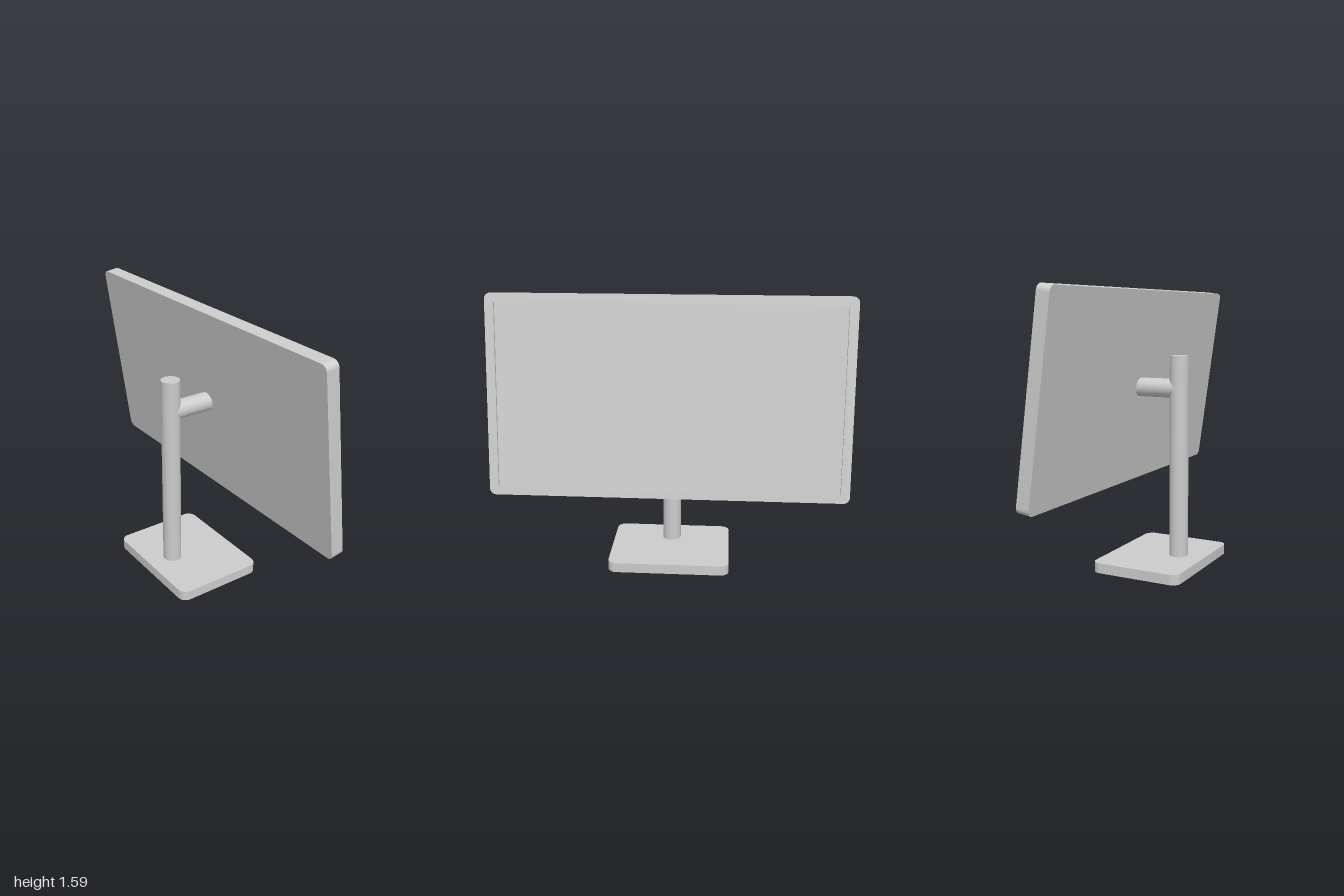
import * as THREE from 'three';
import { toCreasedNormals } from 'three/addons/utils/BufferGeometryUtils.js';

const grey = new THREE.MeshStandardMaterial({ color: 0xcccccc });

function roundedRect(w, h, r) {
  const x = w / 2, y = h / 2, s = new THREE.Shape();
  s.moveTo(-x + r, -y).lineTo(x - r, -y);
  s.absarc(x - r, -y + r, r, -Math.PI / 2, 0);
  s.absarc(x - r, y - r, r, 0, Math.PI / 2);
  s.absarc(-x + r, y - r, r, Math.PI / 2, Math.PI);
  s.absarc(-x + r, -y + r, r, Math.PI, Math.PI * 1.5);
  return s;
}

function extrude(shape, depth) {
  const geometry = new THREE.ExtrudeGeometry(shape, { depth, bevelEnabled: false, curveSegments: 10 });
  return toCreasedNormals(geometry, 0.6);
}

function part(name, geometry, parent) {
  const mesh = new THREE.Mesh(geometry, grey);
  mesh.name = name;
  parent.add(mesh);
  return mesh;
}

export function createModel() {
  const model = new THREE.Group();
  model.name = 'monitor';

  // Stand: rounded foot, round post and an arm of the same diameter
  const poleX = -0.122, radius = 0.054, armY = 1.028;
  const base = part('base', extrude(roundedRect(0.536, 0.7, 0.05), 0.058).rotateX(-Math.PI / 2), model);
  base.position.x = -0.012;

  const post = part('post', new THREE.CylinderGeometry(radius, radius, 1.157, 48), model);
  post.position.set(poleX, 0.058 + 1.157 / 2, 0);

  const armLength = 0.282;
  const arm = part('arm', new THREE.CylinderGeometry(radius, radius, armLength, 48).rotateZ(-Math.PI / 2), model);
  arm.position.set(poleX + armLength / 2, armY, 0);

  // Display: built facing +z, then turned to +x and leaned back
  const width = 2, height = 1.12, thickness = 0.076, recess = 0.014, border = 0.05;
  const display = new THREE.Group();
  display.name = 'display';
  display.position.set(0.165, 1.029, 0);
  display.rotation.z = THREE.MathUtils.degToRad(8);
  model.add(display);

  const body = extrude(roundedRect(width, height, 0.035), thickness - recess);
  part('screenBody', body.translate(0, 0, -thickness / 2).rotateY(Math.PI / 2), display);

  // Raised bezel around the sunken screen
  const frame = roundedRect(width, height, 0.035);
  const hx = width / 2 - border, hy = height / 2 - border;
  frame.holes.push(new THREE.Path().moveTo(-hx, -hy).lineTo(-hx, hy).lineTo(hx, hy).lineTo(hx, -hy).closePath());
  const bezel = extrude(frame, recess).translate(0, 0, thickness / 2 - recess);
  part('bezel', bezel.rotateY(Math.PI / 2), display);

  return model;
}
